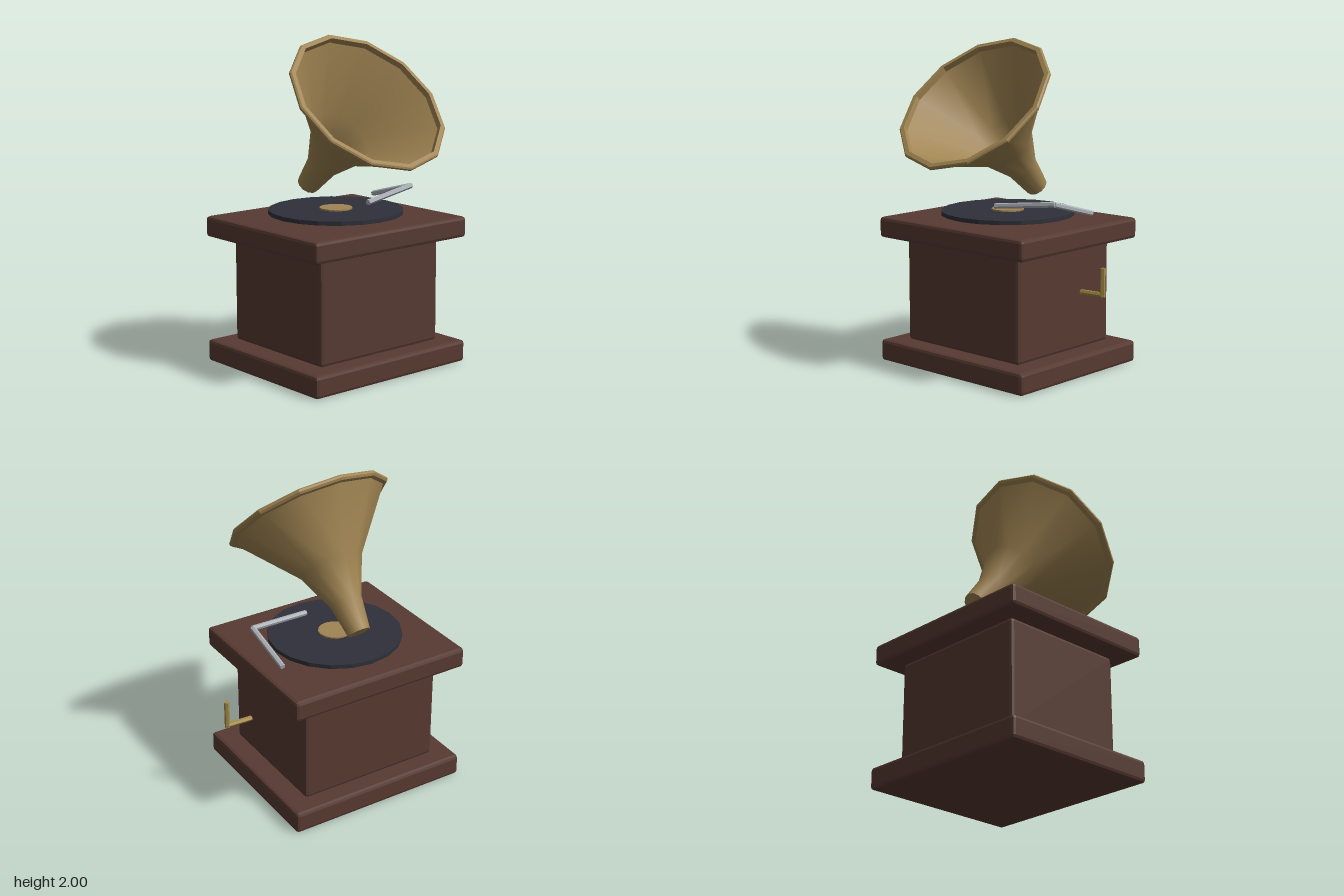
import * as THREE from 'three';
import { toCreasedNormals } from 'three/addons/utils/BufferGeometryUtils.js';
import { RoundedBoxGeometry } from 'three/addons/geometries/RoundedBoxGeometry.js';

const CX = -0.09, CZ = -0.07; // centre of the cabinet

function material(name, color, side = THREE.FrontSide) {
  const m = new THREE.MeshStandardMaterial({ color, side });
  m.name = name;
  return m;
}

export function createModel() {
  const model = new THREE.Group();
  model.name = 'gramophone';
  const wood = material('dark wood', 0x573a32);
  const brass = material('brass', 0xa08452, THREE.DoubleSide);
  const crankBrass = material('crank brass', 0xa38a46);
  const vinyl = material('record black', 0x2f3039);
  const steel = material('steel', 0xabb1b7);

  function add(name, geometry, mat, parent = model) {
    const mesh = new THREE.Mesh(geometry, mat);
    mesh.name = name;
    parent.add(mesh);
    return mesh;
  }

  // Bevelled cabinet block between two heights
  function block(name, w, d, y0, y1) {
    const g = new RoundedBoxGeometry(w, y1 - y0, d, 1, 0.02);
    g.computeVertexNormals();
    add(name, g, wood).position.set(CX, (y0 + y1) / 2, CZ);
  }
  block('plinth', 1.18, 1.05, 0, 0.135);
  block('cabinet', 0.92, 0.82, 0.135, 0.78);
  block('lid', 1.18, 1.05, 0.78, 0.908);

  // Record and its centre label
  function disc(name, r, y0, y1, sides, mat) {
    const g = toCreasedNormals(new THREE.CylinderGeometry(r, r, y1 - y0, sides), 0.2);
    add(name, g, mat).position.set(CX, (y0 + y1) / 2, CZ);
  }
  disc('record', 0.41, 0.93, 0.955, 20, vinyl);
  disc('recordLabel', 0.1, 0.955, 0.964, 16, brass);

  // Straight faceted rod between two points
  function rod(name, a, b, r, mat, parent) {
    const from = new THREE.Vector3(...a), to = new THREE.Vector3(...b);
    const dir = to.clone().sub(from);
    const g = toCreasedNormals(new THREE.CylinderGeometry(r, r, dir.length(), 6), 0.2);
    const mesh = add(name, g, mat, parent);
    mesh.position.copy(from).add(to).multiplyScalar(0.5);
    mesh.quaternion.setFromUnitVectors(new THREE.Vector3(0, 1, 0), dir.normalize());
  }

  // Tone arm
  const arm = new THREE.Group();
  arm.name = 'toneArm';
  model.add(arm);
  rod('armRear', [0.4, 0.962, -0.28], [0.4, 1.056, 0.066], 0.017, steel, arm);
  rod('armFront', [0.408, 1.056, 0.062], [-0.008, 1.01, 0.13], 0.017, steel, arm);

  // Winding crank
  const crank = new THREE.Group();
  crank.name = 'crank';
  model.add(crank);
  rod('crankShaft', [0.5, 0.53, CZ], [0.67, 0.535, CZ], 0.016, crankBrass, crank);
  rod('crankHandle', [0.664, 0.523, CZ], [0.664, 0.695, CZ], 0.016, crankBrass, crank);

  // Horn, tilted forward by 45 degrees
  const horn = new THREE.Group();
  horn.name = 'horn';
  horn.position.set(CX, 1.07, -0.335);
  horn.rotation.x = Math.PI / 4;
  model.add(horn);
  const points = list => list.map(([r, y]) => new THREE.Vector2(r, y));
  const bell = points([[0.07, 0], [0.098, 0.195], [0.195, 0.428], [0.482, 0.78]]);
  add('hornBell', new THREE.LatheGeometry(bell, 12), brass, horn);
  const rim = points([[0.475, 0.772], [0.5, 0.776], [0.512, 0.788], [0.512, 0.8],
    [0.504, 0.808], [0.477, 0.808], [0.475, 0.772]]);
  add('hornRim', toCreasedNormals(new THREE.LatheGeometry(rim, 12), 0.2), brass, horn);
  add('hornEnd', new THREE.CircleGeometry(0.07, 12), brass, horn).rotation.x = Math.PI / 2;

  return model;
}
